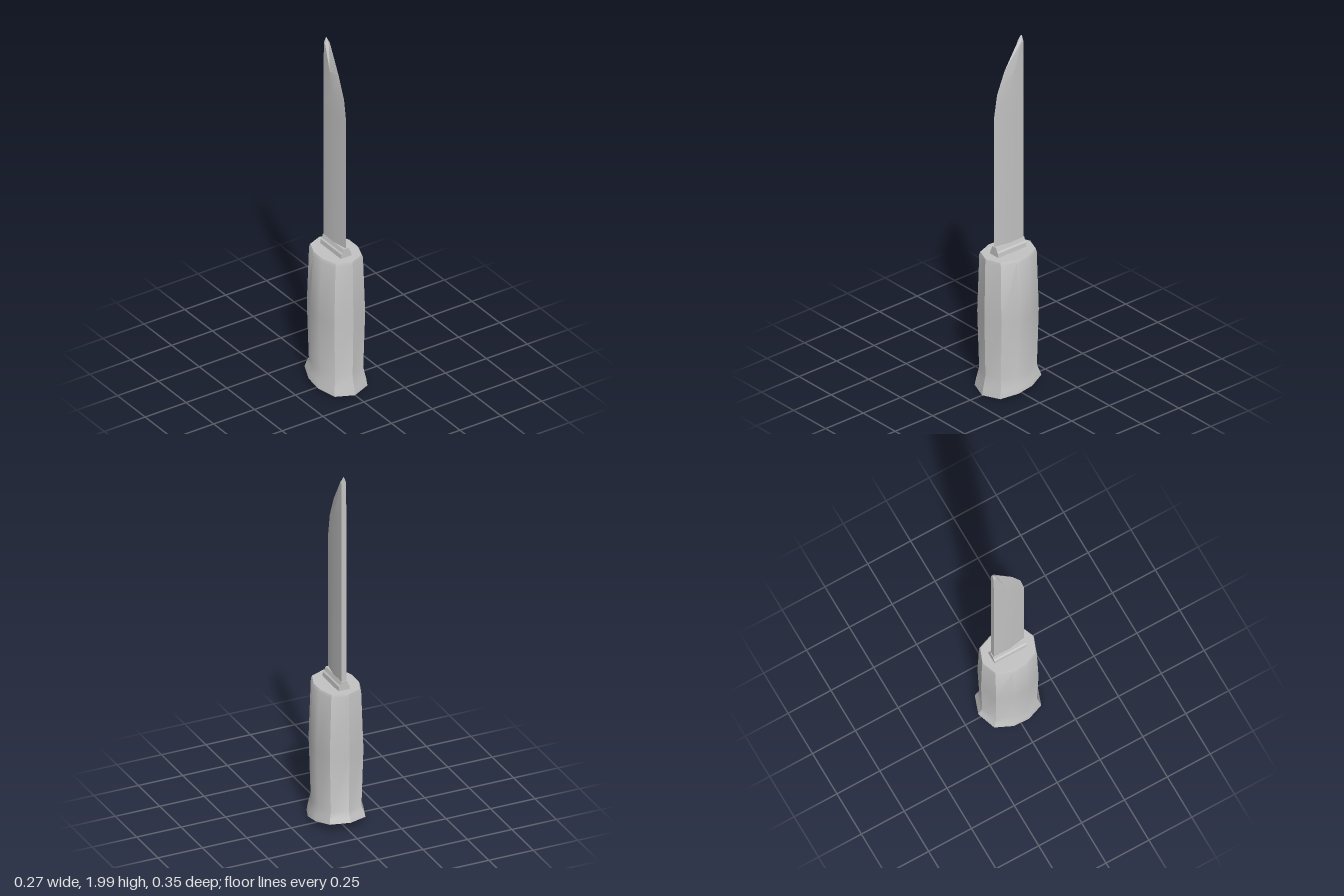
import * as THREE from 'three';
import { toCreasedNormals } from 'three/addons/utils/BufferGeometryUtils.js';

// Skin a stack of rings (bottom to top, running front -> +x -> back) and close both ends.
function loft(rings, crease, bottomY) {
  const pos = [];
  const n = rings[0].length;
  const tri = (a, b, c) => pos.push(...a, ...b, ...c);
  const centre = (ring) => [0, 1, 2].map((k) => ring.reduce((s, p) => s + p[k], 0) / n);
  const low = centre(rings[0]);
  const high = centre(rings[rings.length - 1]);
  if (bottomY !== undefined) low[1] = bottomY;
  for (let i = 0; i < n; i++) {
    const j = (i + 1) % n;
    for (let r = 0; r + 1 < rings.length; r++) {
      const lo = rings[r], hi = rings[r + 1];
      tri(lo[i], lo[j], hi[j]);
      tri(lo[i], hi[j], hi[i]);
    }
    tri(low, rings[0][j], rings[0][i]);
    const top = rings[rings.length - 1];
    tri(high, top[i], top[j]);
  }
  const g = new THREE.BufferGeometry();
  g.setAttribute('position', new THREE.Float32BufferAttribute(pos, 3));
  return toCreasedNormals(g, crease);
}

export function createModel() {
  const group = new THREE.Group();
  const grey = new THREE.MeshStandardMaterial({ color: 0xc4c4c4 });
  grey.name = 'plain grey';
  const add = (name, geometry) => {
    const mesh = new THREE.Mesh(geometry, grey);
    mesh.name = name;
    group.add(mesh);
  };

  // Ten-sided handle, swelling at the middle, with a flared and slanted butt
  const half = [[0, 0.173], [0.1, 0.137], [0.137, 0.045], [0.137, -0.045], [0.1, -0.137], [0, -0.173]];
  const outline = [...half, ...half.slice(1, 5).reverse().map(([x, z]) => [-x, z])];
  // y, slant, x scale, z scale
  const levels = [
    [0.033, 0.16, 1, 1],
    [0.065, 0.1, 0.965, 0.95],
    [0.115, 0, 0.86, 0.87],
    [0.44, 0, 0.945, 0.91],
    [0.77, 0, 0.84, 0.875],
    [0.785, 0, 0.785, 0.86],
  ];
  add('handle', loft(levels.map(([y, slant, sx, sz]) =>
    outline.map(([x, z]) => [x * sx, y - slant * z, z * sz - 0.002])), 0.56, 0.024));

  // Stepped collar where the blade enters the handle
  const collar = [[0.033, 0.78], [0.029, 0.808], [0.022, 0.815], [0.015, 0.835]];
  const shape = new THREE.Shape(
    [...collar, ...collar.slice().reverse().map(([x, y]) => [-x, y])].map(([x, y]) => new THREE.Vector2(x, y)));
  const collarGeometry = new THREE.ExtrudeGeometry(shape, { depth: 0.188, bevelEnabled: false });
  collarGeometry.translate(0, 0, -0.098);
  add('collar', collarGeometry);

  // Blade with a flat spine at the back and the cutting edge at the front
  const spine = -0.093;
  // y, edge z, half thickness
  const sections = [
    [0.79, 0.09, 0.014],
    [1.59, 0.09, 0.014],
    [1.71, 0.071, 0.014],
    [1.83, 0.022, 0.014],
    [1.97, -0.066, 0.013],
    [2.0, -0.086, 0.002],
  ];
  add('blade', loft(sections.map(([y, edge, w]) => {
    const mid = (spine + edge) / 2;
    return [[0, y, edge], [w * 1.1, y, mid], [w, y, spine], [-w, y, spine], [-w * 1.1, y, mid]];
  }), 0.3));

  return group;
}
